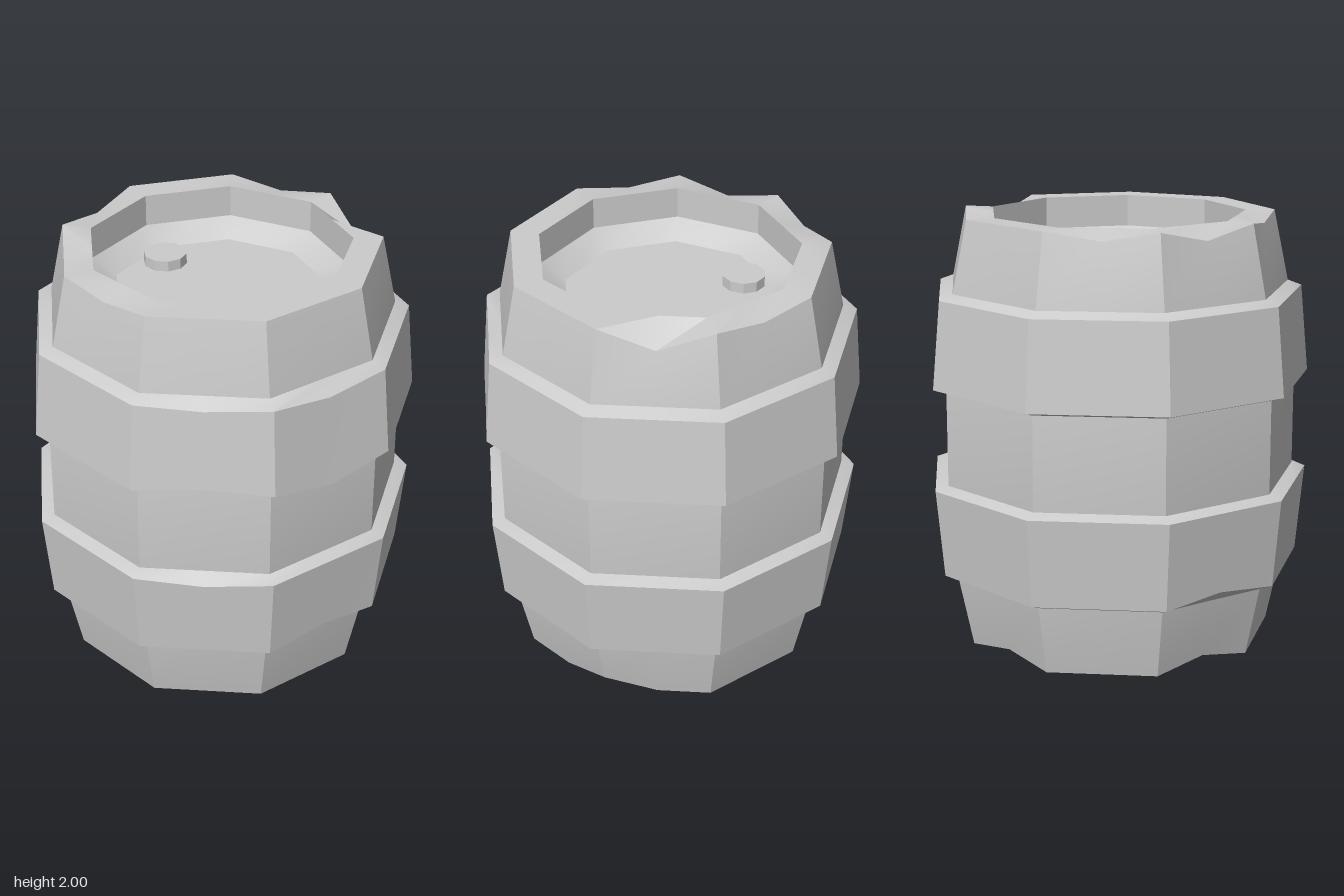
import * as THREE from 'three';
import { toCreasedNormals } from 'three/addons/utils/BufferGeometryUtils.js';

const SIDES = 9, STEPS = SIDES * 2; // corners at even steps, edge middles at odd steps
const OFFSET_X = -0.027;            // centres the odd-sided outline on x = 0

// Loft through [radius, y, chips] rings listed from bottom to top along the outside;
// chips maps a step number to a change in height there.
function loft(rings) {
  const positions = [], index = [];
  for (const [radius, y, chips = {}] of rings) {
    for (let i = 0; i < STEPS; i++) {
      const a = (i / STEPS) * Math.PI * 2;
      const r = i % 2 ? radius * Math.cos(Math.PI / SIDES) : radius;
      positions.push(r * Math.cos(a) + OFFSET_X, y + (chips[i] || 0), r * Math.sin(a));
    }
  }
  for (let j = 0; j < rings.length - 1; j++) {
    for (let i = 0; i < STEPS; i++) {
      const k = (i + 1) % STEPS;
      const a = j * STEPS + i, b = j * STEPS + k, c = a + STEPS, d = b + STEPS;
      if (rings[j][0] > 0) index.push(a, c, b);
      if (rings[j + 1][0] > 0) index.push(b, c, d);
    }
  }
  const geometry = new THREE.BufferGeometry();
  geometry.setAttribute('position', new THREE.Float32BufferAttribute(positions, 3));
  geometry.setIndex(index);
  return toCreasedNormals(geometry, 0.55);
}

export function createModel() {
  const group = new THREE.Group();
  group.name = 'barrel';
  const material = new THREE.MeshStandardMaterial({ color: 0xcccccc });
  const add = (name, geometry) => {
    const mesh = new THREE.Mesh(geometry, material);
    mesh.name = name;
    group.add(mesh);
    return mesh;
  };

  // Body with a recessed, dished head at both ends and chipped rims
  const bottomChips = { 2: 0.065, 11: 0.045, 15: 0.04 };
  const topChips = { 1: -0.095, 9: -0.03, 11: -0.055, 13: -0.04, 17: -0.035 };
  add('body', loft([
    [0, 0.22], [0.485, 0.22], [0.6, 0.15], [0.6, 0],
    [0.735, 0, bottomChips],
    [0.805, 0.33], [0.845, 0.785], [0.845, 1.22], [0.805, 1.67],
    [0.735, 2, topChips],
    [0.6, 2], [0.6, 1.85], [0.485, 1.78], [0, 1.78],
  ]));

  // Two tapering hoops, wider towards the middle of the barrel
  add('lowerHoop', loft([
    [0.805, 0.33],
    [0.87, 0.355, { 5: 0.03, 11: 0.03 }],
    [0.908, 0.765, { 7: -0.025 }],
    [0.845, 0.785],
  ]));
  add('upperHoop', loft([
    [0.845, 1.22],
    [0.908, 1.24, { 5: -0.055, 7: 0.02 }],
    [0.87, 1.645, { 5: -0.035, 7: -0.018 }],
    [0.805, 1.67],
  ]));

  // Bung standing on the top head
  const bung = new THREE.CylinderGeometry(0.1, 0.1, 0.07, 10).toNonIndexed();
  bung.computeVertexNormals();
  add('bung', bung).position.set(-0.025, 1.795, -0.355);

  return group;
}
